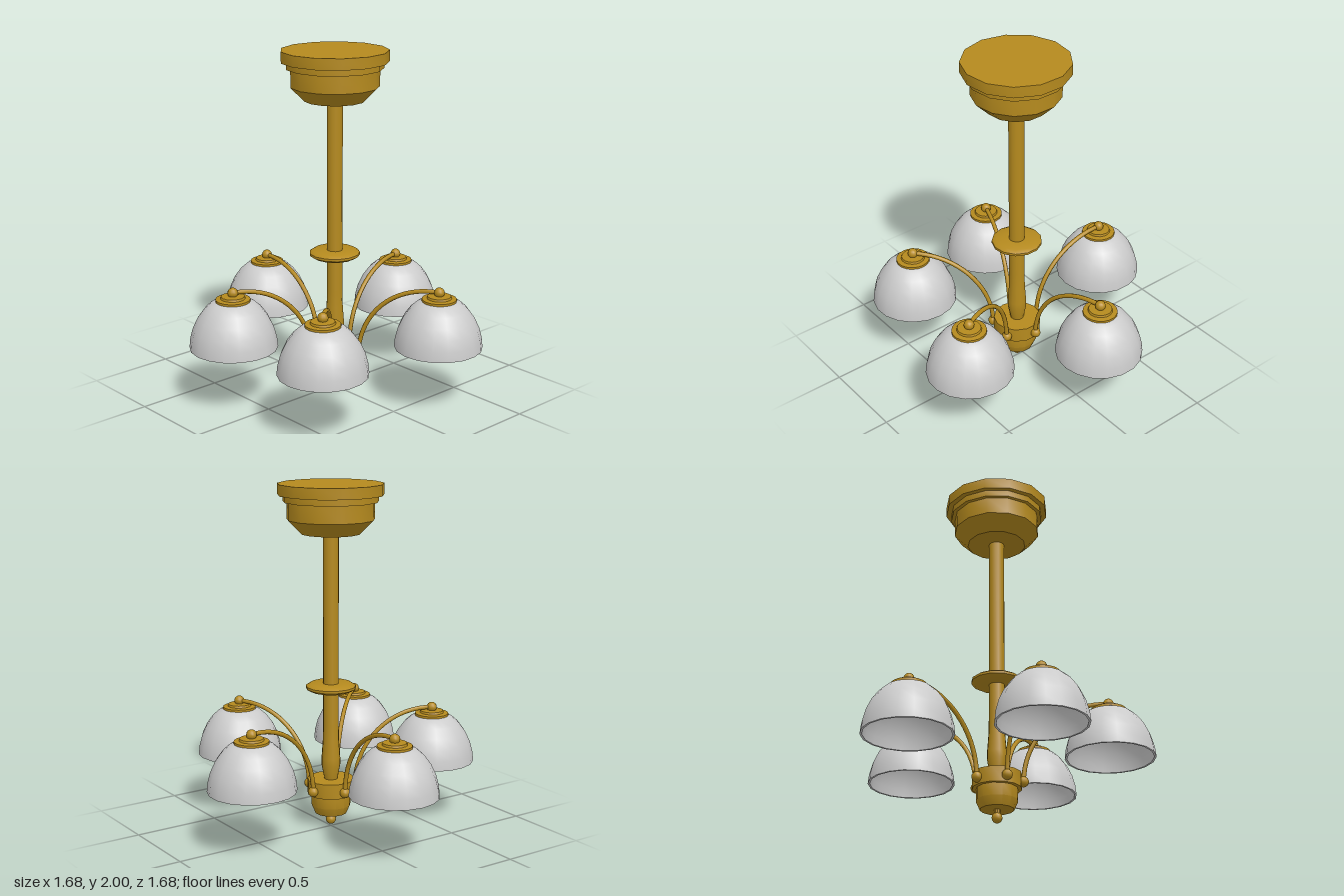
import * as THREE from 'three';
import { toCreasedNormals } from 'three/addons/utils/BufferGeometryUtils.js';

const brass = new THREE.MeshStandardMaterial({ color: 0xb58a1e });
const glass = new THREE.MeshStandardMaterial({ color: 0xcccccc });

function add(parent, name, geometry, material = brass) {
  const mesh = new THREE.Mesh(geometry, material);
  mesh.name = name;
  parent.add(mesh);
  return mesh;
}

// Turned part from [radius, height] pairs, listed bottom to top
function turned(profile, sides) {
  const points = profile.map(([r, y]) => new THREE.Vector2(r, y));
  return toCreasedNormals(new THREE.LatheGeometry(points, sides, -Math.PI / 2), 0.6);
}

const ball = (r) => new THREE.SphereGeometry(r, 12, 8);

export function createModel() {
  const model = new THREE.Group();
  model.name = 'chandelier';
  const cx = -0.018, cz = 0.027;

  // Central column
  const column = new THREE.Group();
  column.name = 'column';
  column.position.set(cx, 0, cz);
  model.add(column);
  add(column, 'ceilingCanopy', turned([[0, 1.72], [0.17, 1.72], [0.25, 1.8], [0.25, 1.9],
    [0.272, 1.9], [0.272, 1.937], [0.302, 1.937], [0.302, 2], [0, 2]], 13));
  add(column, 'stem', turned([[0.036, 0.27], [0.042, 0.3], [0.055, 0.37], [0.055, 0.41],
    [0.047, 0.52], [0.045, 0.62], [0.045, 1.73]], 13));
  add(column, 'stemCollar', turned([[0.04, 0.815], [0.122, 0.815], [0.145, 0.829],
    [0.145, 0.843], [0.122, 0.857], [0.04, 0.857]], 13));
  add(column, 'hub', turned([[0, 0.08], [0.094, 0.08], [0.116, 0.13], [0.116, 0.198],
    [0.138, 0.198], [0.138, 0.286], [0, 0.286]], 13));
  add(column, 'finialNeck', turned([[0.018, 0.04], [0.018, 0.085]], 10));
  add(column, 'finialBall', ball(0.03)).position.y = 0.035;

  // Shared arm and lamp parts
  const reach = 0.62, inner = 0.145, armY = 0.235, topY = 0.675;
  const curve = new THREE.CubicBezierCurve3(
    new THREE.Vector3(inner, armY, 0), new THREE.Vector3(0.15, 0.5, 0),
    new THREE.Vector3(0.36, 0.69, 0), new THREE.Vector3(reach, topY, 0));
  const armGeometry = new THREE.TubeGeometry(curve, 18, 0.013, 8);
  const outer = [[0.25, 0.355], [0.244, 0.41], [0.228, 0.47], [0.2, 0.53],
    [0.162, 0.582], [0.125, 0.615], [0.08, 0.635]];
  const lining = outer.map(([r, y], i) => [r - 0.012, y - (i ? 0.008 : 0)]).reverse();
  const shadeGeometry = turned([[0, 0.627], ...lining, ...outer, [0, 0.64]], 18);
  const capGeometry = turned([[0, 0.618], [0.098, 0.618], [0.098, 0.64], [0.07, 0.644],
    [0.066, 0.656], [0, 0.66]], 18);

  // Five arms, each turned toward its lamp
  const lamps = [[-0.005, -0.597], [0.587, -0.085], [0.262, 0.587], [-0.482, 0.442], [-0.592, -0.187]];
  lamps.forEach(([x, z], i) => {
    const arm = new THREE.Group();
    arm.name = `lampArm${i + 1}`;
    arm.position.set(cx, 0, cz);
    arm.rotation.y = -Math.atan2(z - cz, x - cx);
    model.add(arm);
    const length = Math.hypot(x - cx, z - cz);
    add(arm, 'armTube', armGeometry).scale.x = length / reach;
    add(arm, 'hubBall', ball(0.03)).position.set(inner, armY, 0);
    add(arm, 'topBall', ball(0.03)).position.set(length, topY, 0);
    add(arm, 'shadeCap', capGeometry).position.x = length;
    add(arm, 'shade', shadeGeometry, glass).position.x = length;
  });
  return model;
}
